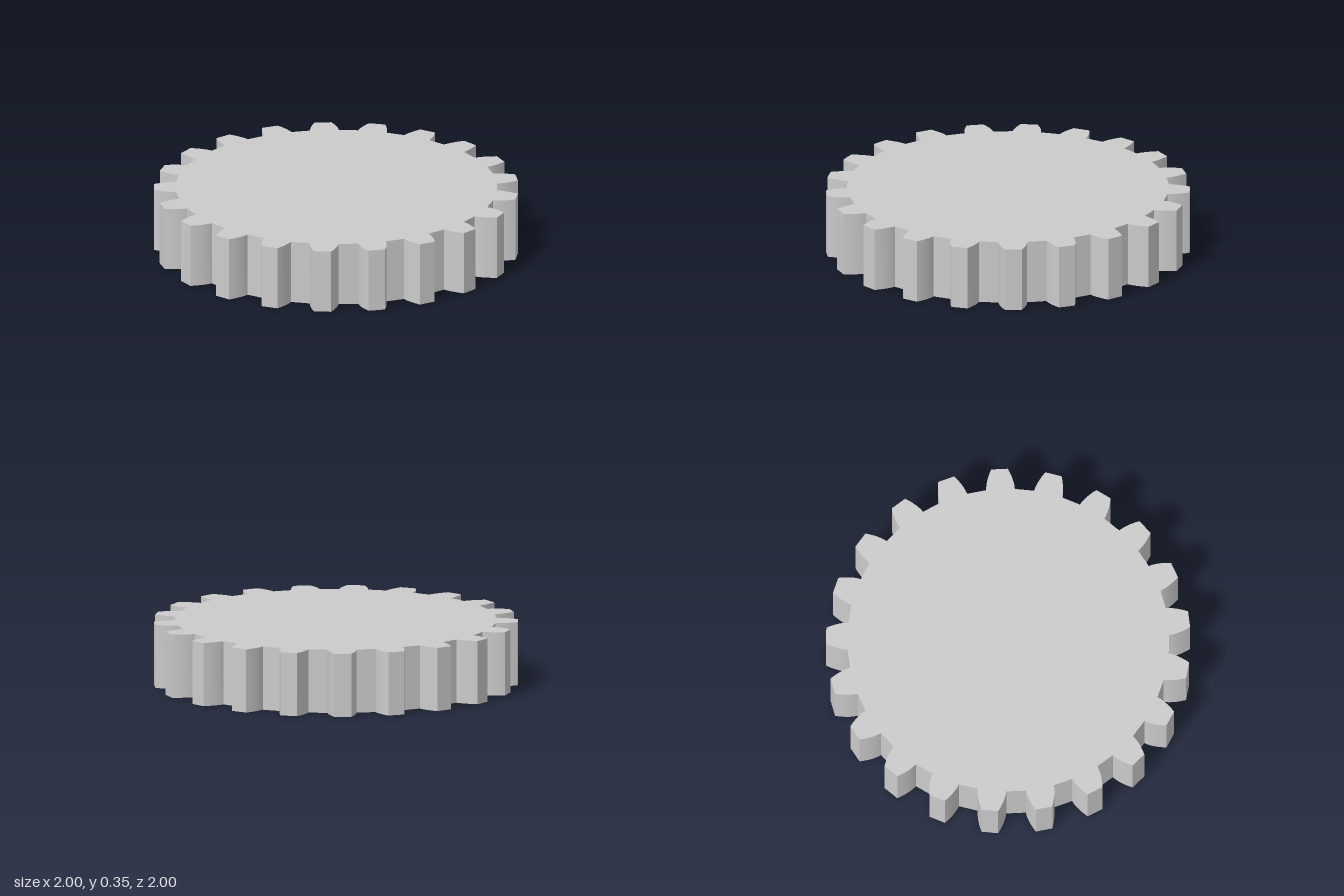
import * as THREE from 'three';
import { toCreasedNormals } from 'three/addons/utils/BufferGeometryUtils.js';

const TEETH = 21;
const ROOT = 0.884;               // root and involute base circle
const TIP = 1.001;
const HEIGHT = 0.353;
const ROOT_HALF = THREE.MathUtils.degToRad(5.1);  // half tooth angle at the root
const OFFSET = THREE.MathUtils.degToRad(-0.85);
const STEPS = 8;

// half the tooth's angular width at radius r, narrowing along an involute
function halfAngle(r) {
  const a = Math.acos(Math.min(1, ROOT / r));
  return ROOT_HALF - (Math.tan(a) - a);
}

function gearShape() {
  const points = [];
  const add = (r, angle) => points.push(new THREE.Vector2(r * Math.sin(angle), r * Math.cos(angle)));
  for (let i = 0; i < TEETH; i++) {
    const mid = OFFSET + (i / TEETH) * Math.PI * 2;
    // rising flank, then falling flank
    for (const side of [-1, 1]) {
      for (let k = 0; k <= STEPS; k++) {
        const t = (side < 0 ? k : STEPS - k) / STEPS;
        const r = ROOT + (TIP - ROOT) * t;
        add(r, mid + side * halfAngle(r));
      }
    }
  }
  return new THREE.Shape(points);
}

export function createModel() {
  const group = new THREE.Group();
  group.name = 'spurGear';

  // solid disc with teeth, extruded upwards
  const extruded = new THREE.ExtrudeGeometry(gearShape(), { depth: HEIGHT, bevelEnabled: false });
  extruded.rotateX(-Math.PI / 2);
  const gear = new THREE.Mesh(
    toCreasedNormals(extruded, 0.5),
    new THREE.MeshStandardMaterial({ color: 0xcccccc })
  );
  gear.name = 'toothedDisc';
  group.add(gear);
  return group;
}
